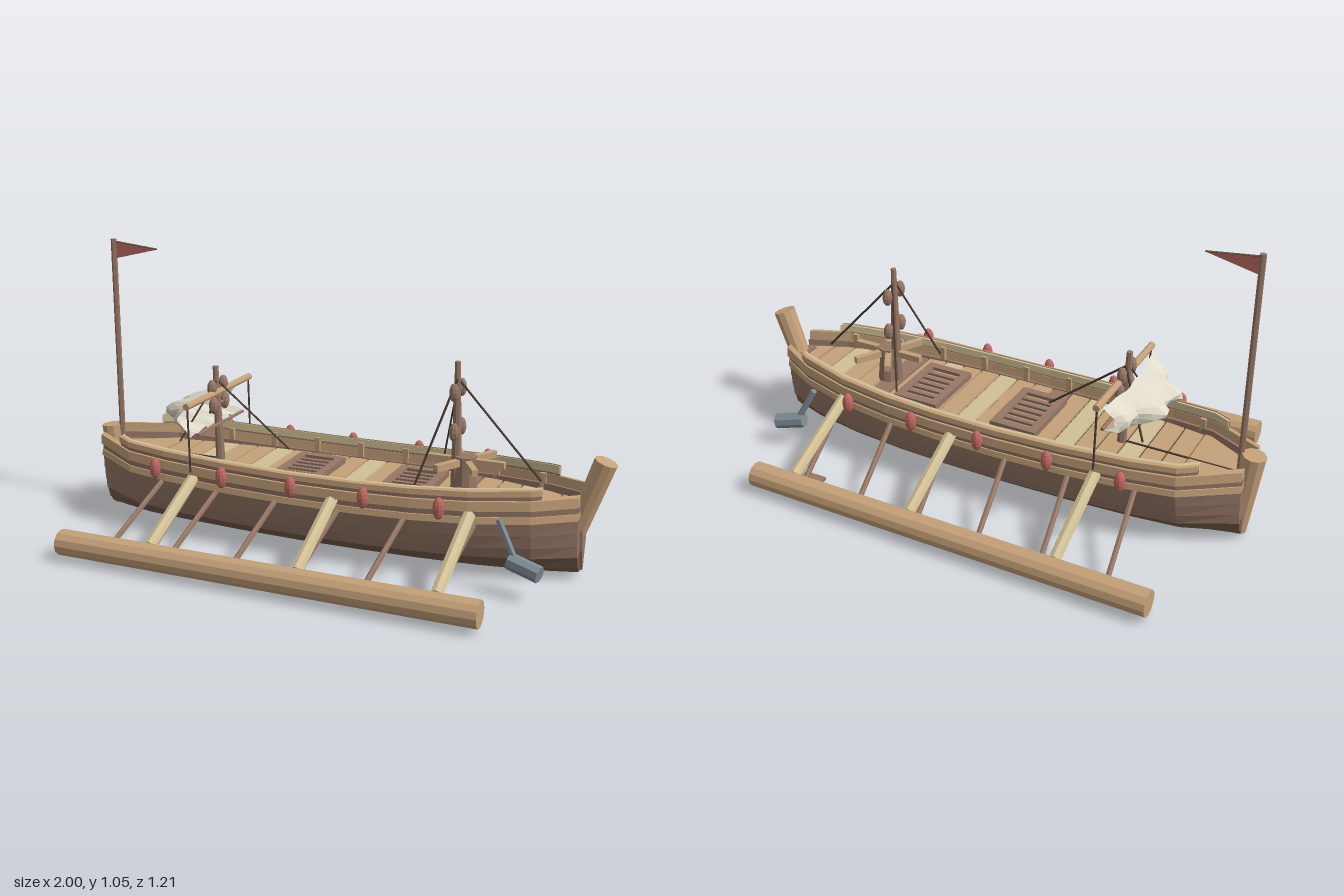
import * as THREE from 'three';

const mat = (name, color, extra = {}) => {
  const m = new THREE.MeshStandardMaterial({ color, flatShading: true, ...extra });
  m.name = name;
  return m;
};
const TAN = mat('tan wood', 0xc5a17a), LIGHT = mat('pale wood', 0xd2c197), BROWN = mat('brown wood', 0x967766);
const DARK = mat('dark wood', 0x755c4d), ROPE = mat('rope brown', 0x49392f), RED = mat('red', 0xbf6863);
const SAIL = mat('canvas', 0xe0dbcb, { side: THREE.DoubleSide }), GREY = mat('iron grey', 0x7f8d95);
const FLAG = mat('flag red', 0xc26c66, { side: THREE.DoubleSide });
const V = (x, y, z) => new THREE.Vector3(x, y, z);

// Piecewise linear lookup through [x, y] points
const lerpAt = (pts, x) => {
  let i = 0;
  while (i < pts.length - 2 && x > pts[i + 1][0]) i++;
  const [a, b] = [pts[i], pts[i + 1]];
  return a[1] + (b[1] - a[1]) * THREE.MathUtils.clamp((x - a[0]) / (b[0] - a[0]), 0, 1);
};
const PLAN = [[-0.96, 0.08], [-0.76, 0.2], [-0.6, 0.222], [-0.35, 0.238], [-0.1, 0.245], [0.15, 0.243],
  [0.35, 0.233], [0.55, 0.208], [0.75, 0.155], [0.9, 0.075]];
const SECTION = [[0.004, 0], [0.008, 0.36], [0.03, 0.56], [0.07, 0.75], [0.11, 0.84], [0.155, 0.9],
  [0.2, 0.94], [0.28, 0.98], [0.33, 1]];
const halfWidth = x => lerpAt(PLAN, x);
const sheer = (x, f) => x * x * (0.02 + 0.07 * f);

// Solid skinned over cross-sections { x, ring: [[y, z], ...] } running towards +x
function loft(sections) {
  const r0 = sections[0].ring, n = r0.length;
  const area = r0.reduce((s, p, i) => s + p[0] * r0[(i + 1) % n][1] - r0[(i + 1) % n][0] * p[1], 0);
  const rings = sections.map(({ x, ring }) => {
    const pts = ring.map(([y, z]) => V(x, y, z));
    return area < 0 ? pts.reverse() : pts;
  });
  const tri = [];
  for (let k = 0; k < rings.length - 1; k++) {
    const [a, b] = [rings[k], rings[k + 1]];
    for (let i = 0; i < n; i++) {
      const j = (i + 1) % n;
      tri.push(a[i], a[j], b[i], a[j], b[j], b[i]);
    }
  }
  const last = rings[rings.length - 1];
  for (let i = 1; i < n - 1; i++) {
    tri.push(rings[0][0], rings[0][i + 1], rings[0][i], last[0], last[i], last[i + 1]);
  }
  const g = new THREE.BufferGeometry().setFromPoints(tri);
  g.computeVertexNormals();
  return g;
}

export function createModel() {
  const model = new THREE.Group();
  model.name = 'outriggerBoat';
  const add = (name, geo, material, x = 0, y = 0, z = 0) => {
    const m = new THREE.Mesh(geo, material);
    m.name = name;
    m.position.set(x, y, z);
    model.add(m);
    return m;
  };
  const box = (name, w, h, d, material, x, y, z) => add(name, new THREE.BoxGeometry(w, h, d), material, x, y, z);
  const rod = (name, a, b, r, material, seg = 8, rTop = r) => {
    const dir = b.clone().sub(a);
    const m = add(name, new THREE.CylinderGeometry(rTop, r, dir.length(), seg), material);
    m.position.copy(a).add(b).multiplyScalar(0.5);
    m.quaternion.setFromUnitVectors(V(0, 1, 0), dir.normalize());
    return m;
  };

  // Hull planks: one lofted strip between two heights of the hull section
  function strake(name, side, f0, f1, out, thick, material, xa = -0.95, xb = 0.893) {
    const xs = [xa, ...PLAN.map(p => p[0]).filter(x => x > xa + 0.01 && x < xb - 0.01), xb];
    add(name, loft(xs.map(x => {
      const w = halfWidth(x), y0 = f0 + sheer(x, f0), y1 = f1 + sheer(x, f1);
      const z0 = w * lerpAt(SECTION, f0), z1 = w * lerpAt(SECTION, f1);
      return { x, ring: [
        [y0, side * (z0 + out)], [y1, side * (z1 + out * 0.6)],
        [y1 + 0.004, side * Math.max(z1 - thick, 0)], [y0 + 0.004, side * Math.max(z0 - thick, 0)]] };
    })), material);
  }
  for (const s of [1, -1]) {
    strake('bottomPlank', s, 0.004, 0.009, 0, 0.03, DARK);
    strake('bilgePlank', s, 0.009, 0.03, 0.003, 0.03, DARK);
    strake('bilgePlank', s, 0.03, 0.07, 0.006, 0.03, DARK);
    strake('sidePlank', s, 0.07, 0.11, 0.007, 0.03, BROWN);
    strake('sidePlank', s, 0.11, 0.155, 0.007, 0.025, BROWN);
    strake('sidePlank', s, 0.155, 0.2, 0.007, 0.025, BROWN);
    strake('lowerWale', s, 0.2, 0.222, 0.014, 0.025, TAN);
    strake('sidePlank', s, 0.222, 0.245, 0.004, 0.025, BROWN);
    strake('upperWale', s, 0.245, 0.277, 0.015, 0.014, TAN);
    strake('bulwark', s, 0.277, 0.293, 0.002, 0.012, BROWN, -0.82, 0.78);
    strake('topRail', s, 0.293, 0.312, 0.009, 0.006, TAN, -0.82, 0.78);
    strake('railGroove', s, 0.293, 0.306, -0.005, 0.01, ROPE, -0.82, 0.78);
    strake('innerRail', s, 0.286, 0.312, -0.009, 0.021, LIGHT, -0.82, 0.78);
    for (let x = -0.72; x < 0.75; x += 0.18) {
      box('stanchion', 0.02, 0.06, 0.014, TAN, x, 0.275, s * (halfWidth(x) - 0.026));
    }
  }

  // Deck: dark bed with crosswise planks and a short stern seam
  const slab = (name, xa, xb, y0, y1, inset, material) => {
    const xs = [xa, ...PLAN.map(p => p[0]).filter(x => x > xa && x < xb), xb];
    add(name, loft(xs.map(x => {
      const w = halfWidth(x) - inset;
      return { x, ring: [[y0, -w], [y1, -w], [y1, w], [y0, w]] };
    })), material);
  };
  slab('deckBed', -0.945, 0.885, 0.22, 0.236, 0.016, ROPE);
  slab('sternDeck', -0.94, -0.735, 0.23, 0.25, 0.016, TAN);
  slab('bowDeck', 0.805, 0.885, 0.23, 0.25, 0.016, TAN);
  const tones = [TAN, TAN, LIGHT, TAN, TAN, LIGHT, TAN, BROWN];
  for (let i = 0; i < 20; i++) {
    const x = -0.727 + i * 0.0765;
    slab('deckPlank', x, x + 0.068, 0.232, 0.246, 0.018, tones[i % 8]);
  }
  box('deckSeam', 0.42, 0.004, 0.007, ROPE, -0.71, 0.249, 0);

  // Grated hatches
  for (const x of [-0.12, 0.285]) {
    box('hatchBed', 0.15, 0.01, 0.24, TAN, x, 0.251, 0);
    for (const s of [1, -1]) {
      box('hatchFrame', 0.03, 0.024, 0.27, BROWN, x + s * 0.075, 0.257, 0);
      box('hatchFrame', 0.13, 0.024, 0.03, BROWN, x, 0.257, s * 0.12);
    }
    for (let i = -2; i <= 2; i++) box('hatchSlat', 0.13, 0.012, 0.018, BROWN, x, 0.26, i * 0.037);
  }

  // Stem, prow post and stern post
  add('stem', loft([[0.855, 0.05], [0.9, 0.034]].map(([x, w]) => (
    { x, ring: [[0.025, -0.006], [0.1, -w * 0.75], [0.26, -w], [0.26, w], [0.1, w * 0.75], [0.025, 0.006]] }))), BROWN);
  rod('prowPost', V(0.868, 0.15, 0), V(0.96, 0.417, 0), 0.036, TAN, 10, 0.041);
  rod('sternPost', V(-0.93, 0.018, 0), V(-0.96, 0.33, 0), 0.03, TAN, 10, 0.042);

  // Flagpole and pennant
  rod('flagpole', V(-0.915, 0.26, 0), V(-0.915, 1.055, 0), 0.011, BROWN, 6);
  const flag = new THREE.Shape([[-0.91, 1.045], [-0.91, 0.982], [-0.73, 1.024]].map(p => new THREE.Vector2(...p)));
  add('pennant', new THREE.ShapeGeometry(flag), FLAG);
  rod('pennantEdge', V(-0.91, 1.046, 0), V(-0.73, 1.026, 0), 0.003, DARK, 4);

  // Outriggers, struts, fenders and anchors
  const padInner = [0.465, 0.478, 0.49, 0.49, 0.475, 0.435];
  for (const s of [1, -1]) {
    rod('outriggerFloat', V(-0.823, 0.063, s * 0.56), V(0.705, 0.063, s * 0.56), 0.046, TAN, 12);
    for (const x of [-0.48, 0.073, 0.553]) {
      rod('mainBoom', V(x, 0.238, s * (halfWidth(x) - 0.01)), V(x, 0.088, s * 0.53), 0.022, LIGHT, 8);
    }
    padInner.forEach((z, i) => {
      const x = -0.658 + i * 0.238;
      rod('thinStrut', V(x + 0.038, 0.205, s * (halfWidth(x) - 0.01)), V(x, 0.048, s * 0.515), 0.01, BROWN, 6);
      box('strutPad', 0.085, 0.012, 0.55 - z, BROWN, x, 0.034, s * (z + 0.55) / 2);
    });
    for (let i = 0; i < 5; i++) {
      const m = add('redFender', new THREE.SphereGeometry(1, 10, 8), RED, -0.597 + i * 0.268, 0.281, s * 0.287);
      m.scale.set(0.02, 0.039, 0.02);
    }
    rod('anchorShank', V(0.665, 0.252, s * 0.235), V(0.735, 0.12, s * 0.258), 0.012, GREY, 6);
    rod('anchorHead', V(0.71, 0.122, s * 0.252), V(0.818, 0.1, s * 0.278), 0.029, GREY, 8);
  }

  // Masts, pulley blocks and rigging
  rod('foreMast', V(0.445, 0.24, 0), V(0.44, 0.71, 0), 0.022, BROWN, 8, 0.01);
  rod('aftMast', V(-0.485, 0.24, 0), V(-0.497, 0.605, 0), 0.018, BROWN, 8, 0.011);
  rod('foreStay', V(0.443, 0.65, 0), V(0.745, 0.32, 0), 0.004, ROPE, 4);
  rod('aftStay', V(-0.49, 0.55, 0), V(-0.2, 0.32, 0), 0.004, ROPE, 4);
  for (const s of [1, -1]) {
    for (const [x, y] of [[0.443, 0.61], [0.445, 0.47], [-0.49, 0.53], [-0.485, 0.465]]) {
      const m = add('pulleyBlock', new THREE.SphereGeometry(1, 8, 6), BROWN, x, y, s * 0.043);
      m.scale.set(0.018, 0.033, 0.02);
      rod('blockPin', V(x, y, 0), V(x, y, s * 0.04), 0.006, BROWN, 5);
    }
    rod('foreShroud', V(0.443, 0.65, s * 0.01), V(0.345, 0.3, s * 0.16), 0.004, ROPE, 4);
    rod('aftShroud', V(-0.49, 0.55, s * 0.01), V(-0.6, 0.33, s * 0.1), 0.004, ROPE, 4);
    rod('yardRope', V(-0.485, 0.505, s * 0.238), V(-0.48, 0.265, s * 0.238), 0.004, ROPE, 4);
  }
  rod('yard', V(-0.485, 0.51, -0.247), V(-0.485, 0.51, 0.247), 0.013, TAN, 8);
  rod('lowerBoom', V(-0.48, 0.388, -0.175), V(-0.48, 0.388, 0.175), 0.007, BROWN, 6);

  // Gathered sail billowing astern from the yard
  const sail = new THREE.PlaneGeometry(1, 1, 16, 7);
  const p = sail.attributes.position;
  for (let i = 0; i < p.count; i++) {
    const v = 0.5 - p.getY(i), z = p.getX(i) * (0.44 - 0.06 * v);
    const belly = 0.17 * Math.sin(Math.PI * (0.06 + 0.9 * v)) * (1 - 17 * z * z) * (1 - 0.17 * Math.cos(z * 45));
    const fold = 0.012 * Math.sin(z * 70 + v * 9) * v;
    p.setXYZ(i, -0.492 - belly + fold, 0.502 - 0.12 * v + fold, z);
  }
  sail.computeVertexNormals();
  add('sail', sail, SAIL);

  // Capstan with crossing push bars
  rod('capstanDrum', V(0.477, 0.24, 0), V(0.477, 0.35, 0), 0.045, BROWN, 10, 0.034);
  rod('capstanHead', V(0.477, 0.338, 0), V(0.477, 0.378, 0), 0.04, BROWN, 10);
  for (let i = 0; i < 3; i++) {
    const bar = box('capstanBar', 0.28, 0.024, 0.022, TAN, 0.477, 0.359, 0);
    bar.rotation.y = i * Math.PI / 3;
  }
  return model;
}
